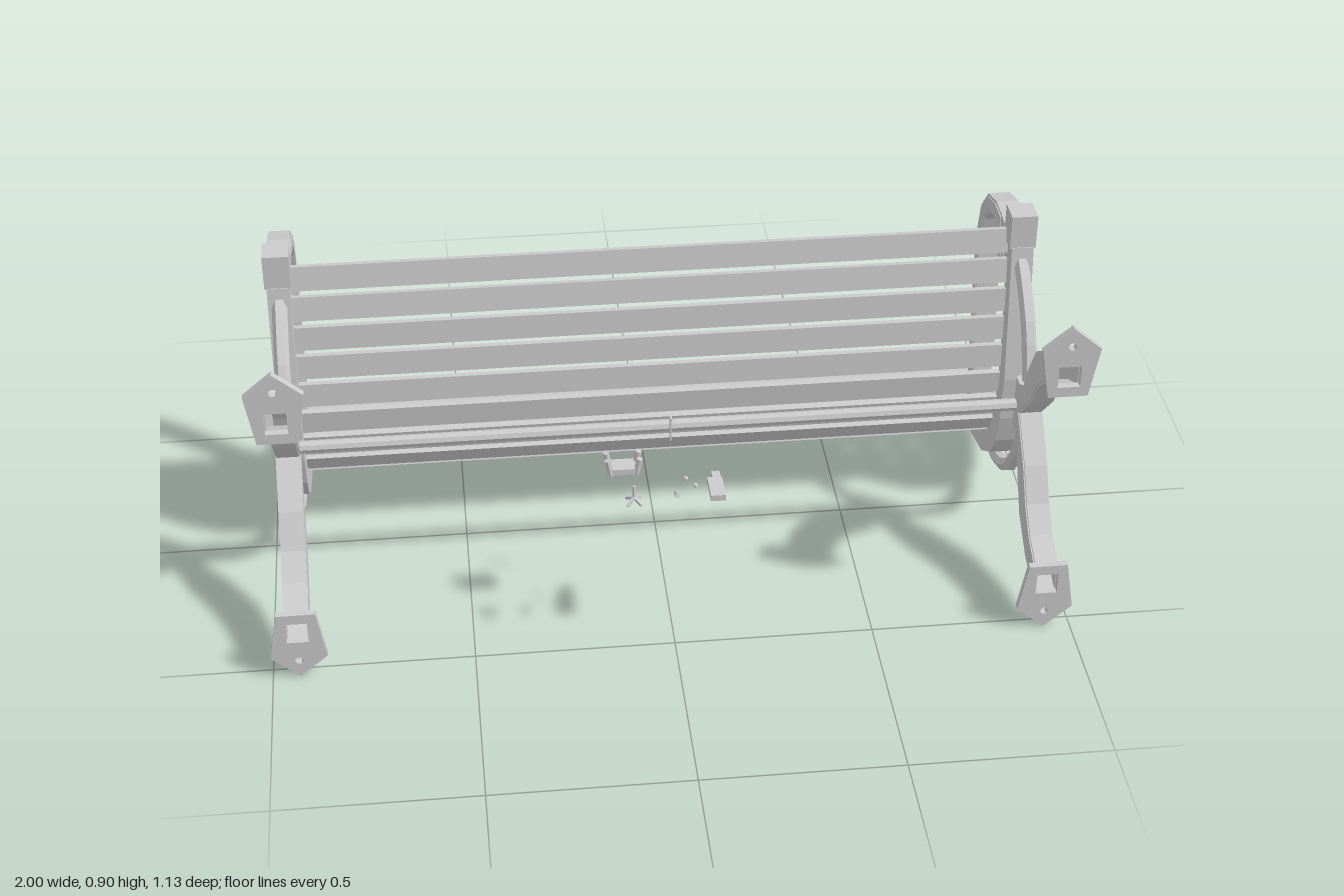
import * as THREE from 'three';

const mat = new THREE.MeshStandardMaterial({ color: 0xcccccc, flatShading: true });
const V = ([z, y]) => new THREE.Vector2(z, y);
const SIDE_X = 0.932;

function add(parent, name, geo, x = 0, y = 0, z = 0) {
  const m = new THREE.Mesh(geo, mat);
  m.name = name;
  m.position.set(x, y, z);
  parent.add(m);
  return m;
}

// Flat plate drawn in the z-y plane between two edge lines, thick along x
function plate(edgeA, edgeB, depth) {
  const shape = new THREE.Shape([...edgeA, ...[...edgeB].reverse()].map(V));
  const g = new THREE.ExtrudeGeometry(shape, { depth, bevelEnabled: false });
  return g.translate(0, 0, -depth / 2).rotateY(-Math.PI / 2);
}

// Line shifted sideways by d
function offset(pts, d) {
  return pts.map((p, i) => {
    const a = pts[Math.max(i - 1, 0)], b = pts[Math.min(i + 1, pts.length - 1)];
    const l = Math.hypot(b[0] - a[0], b[1] - a[1]);
    return [p[0] - (b[1] - a[1]) / l * d, p[1] + (b[0] - a[0]) / l * d];
  });
}
const strip = (pts, w, depth) => plate(offset(pts, w / 2), offset(pts, -w / 2), depth);

function linePath(pts) {
  const path = new THREE.CurvePath();
  for (let i = 1; i < pts.length; i++) path.add(new THREE.LineCurve(V(pts[i - 1]), V(pts[i])));
  return path;
}

// Edges of the curved end rail, from the top post round to the free end
const railOuter = [[0.01, 0.81], [0.032, 0.634], [0.053, 0.436], [0.044, 0.308], [0.023, 0.223],
  [-0.032, 0.146], [-0.117, 0.091], [-0.27, 0.055], [-0.556, 0.027]];
const railInner = [[-0.05, 0.81], [-0.03, 0.68], [-0.017, 0.527], [-0.011, 0.42], [-0.026, 0.308],
  [-0.053, 0.238], [-0.102, 0.186], [-0.194, 0.155], [-0.316, 0.125], [-0.566, 0.091]];
const armPath = [[-0.05, 0.8], [-0.12, 0.81], [-0.178, 0.812], [-0.26, 0.787], [-0.315, 0.726],
  [-0.343, 0.619], [-0.334, 0.482], [-0.312, 0.28]];
const scrollPath = [[-0.045, 0.8], [-0.05, 0.73], [-0.068, 0.69], [-0.112, 0.694], [-0.117, 0.735],
  [-0.093, 0.752], [-0.075, 0.735], [-0.085, 0.715]];

// Splayed leg edges, mirrored about the hub height
const HUB_Y = 0.456;
const legTop = [[0.512, 0.802], [0.416, 0.765], [0.325, 0.701], [0.264, 0.598], [0.218, 0.462]];
const legLow = [[0.512, 0.735], [0.43, 0.695], [0.37, 0.64], [0.318, 0.558], [0.222, 0.458]];

function footGeometry() {
  const s = new THREE.Shape([[0, 0.905], [-0.07, 0.845], [-0.048, 0.713], [0.048, 0.713], [0.07, 0.845]]
    .map(([x, y]) => V([x, y - HUB_Y])));
  s.holes.push(new THREE.Path().absarc(0, 0.855 - HUB_Y, 0.011, 0, Math.PI * 2, true));
  s.holes.push(new THREE.Path([[-0.027, 0.74], [0.027, 0.74], [0.027, 0.798], [-0.027, 0.798]]
    .map(([x, y]) => V([x, y - HUB_Y]))));
  return new THREE.ExtrudeGeometry(s, { depth: 0.018, bevelEnabled: false, curveSegments: 3 });
}

// Hollow leg with its foot plate, built around the hub height
function leg() {
  const g = new THREE.Group();
  g.name = 'leg';
  const low = (pts) => pts.map(([z, y]) => [z, y - HUB_Y]);
  const top = low(legTop), bot = low(legLow);
  for (const s of [-1, 1]) add(g, 'legCheek', plate(top, bot, 0.006), s * 0.028);
  add(g, 'legTopWall', plate(top, offset(top, -0.006), 0.056));
  add(g, 'legBottomWall', plate(offset(bot, 0.006), bot, 0.056));
  add(g, 'footPlate', footGeometry(), 0, 0, 0.512);
  return g;
}

function brace(pts) {
  const path = new THREE.CurvePath();
  const v = pts.map(([z, y]) => new THREE.Vector3(0, y, z));
  const curve = new THREE.CatmullRomCurve3(v);
  return new THREE.TubeGeometry(curve, 6, 0.019, 6);
}

function endFrame(side) {
  const g = new THREE.Group();
  g.name = side > 0 ? 'leftEndFrame' : 'rightEndFrame';
  g.position.x = side * SIDE_X;
  add(g, 'endRail', plate(railOuter, railInner, 0.056));
  add(g, 'topPost', new THREE.BoxGeometry(0.066, 0.092, 0.068), 0, 0.853, -0.026);
  add(g, 'armrest', strip(armPath, 0.046, 0.056));
  add(g, 'armrestInlay', strip(armPath.slice(1), 0.03, 0.062));
  add(g, 'armrestFork', strip([[-0.308, 0.29], [-0.298, 0.23], [-0.268, 0.137]], 0.026, 0.05));
  add(g, 'armrestFork', strip([[-0.316, 0.29], [-0.326, 0.23], [-0.349, 0.115]], 0.026, 0.05));
  add(g, 'scroll', strip(scrollPath, 0.028, 0.056));

  // Hub with its two legs and two braces
  add(g, 'hub', new THREE.CylinderGeometry(0.033, 0.033, 0.143, 6), 0, HUB_Y, 0.186);
  for (const s of [1, -1]) {
    const l = leg();
    l.position.y = HUB_Y;
    if (s < 0) l.rotation.z = Math.PI;
    g.add(l);
  }
  add(g, 'upperBrace', brace([[0.195, 0.51], [0.135, 0.645], [0.065, 0.72], [0, 0.77]]));
  add(g, 'lowerBrace', brace([[0.195, 0.4], [0.14, 0.27], [0.065, 0.17], [-0.01, 0.132], [-0.09, 0.108], [-0.13, 0.12]]));
  return g;
}

// Small loose items floating in front
function looseItems() {
  const g = new THREE.Group();
  g.name = 'looseItems';
  add(g, 'thinRod', new THREE.CylinderGeometry(0.003, 0.003, 0.075, 5), 0, 0.582, 0.376);
  add(g, 'rodHook', new THREE.BoxGeometry(0.005, 0.004, 0.02), 0, 0.619, 0.387);
  add(g, 'fittingBase', new THREE.BoxGeometry(0.075, 0.016, 0.045), -0.12, 0.503, 0.417);
  for (const x of [-0.155, -0.085])
    for (const z of [0.402, 0.434])
      add(g, 'fittingPost', new THREE.CylinderGeometry(0.008, 0.008, 0.045, 6), x, 0.515, z).rotation.z = x < -0.12 ? 0.2 : -0.2;
  add(g, 'flatBlock', new THREE.BoxGeometry(0.036, 0.016, 0.075), 0.095, 0.501, 0.525);
  add(g, 'flatBlockNeck', new THREE.BoxGeometry(0.02, 0.012, 0.03), 0.1, 0.5, 0.475);
  for (let i = 0; i < 4; i++) {
    const a = Math.PI / 4 + i * Math.PI / 2;
    const m = add(g, 'starArm', new THREE.BoxGeometry(0.028, 0.006, 0.007), -0.105 + Math.cos(a) * 0.012, 0.496, 0.54 - Math.sin(a) * 0.012);
    m.rotation.set(0, a, -0.5, 'YXZ');
  }
  add(g, 'starStem', new THREE.CylinderGeometry(0.004, 0.004, 0.035, 5), -0.105, 0.518, 0.54);
  add(g, 'peg', new THREE.CylinderGeometry(0.006, 0.006, 0.032, 6), -0.003, 0.508, 0.545).rotation.x = 1.2;
  for (const [x, z] of [[0.025, 0.485], [0.045, 0.515]])
    add(g, 'bead', new THREE.IcosahedronGeometry(0.007, 0), x, 0.508, z);
  return g;
}

export function createModel() {
  const model = new THREE.Group();
  model.name = 'bench';
  for (const s of [-1, 1]) model.add(endFrame(s));

  // Slats spaced evenly along the inner side of the end rails
  const path = linePath([[-0.055, 0.836], ...railInner.slice(1, -1), [-0.542, 0.094]]);
  const count = 14, gap = 0.017, thick = 0.016;
  const pitch = (path.getLength() + gap) / count;
  for (let i = 0; i < count; i++) {
    const a = path.getPoint(Math.min(i * pitch / path.getLength(), 1));
    const b = path.getPoint(Math.min((i * pitch + pitch - gap) / path.getLength(), 1));
    const t = b.clone().sub(a).normalize(), c = a.add(b).multiplyScalar(0.5);
    const slat = add(model, 'slat', new THREE.BoxGeometry(SIDE_X * 2 - 0.05, thick, pitch - gap),
      0, c.y + t.x * thick / 2, c.x - t.y * thick / 2);
    slat.rotation.x = Math.atan2(-t.y, t.x);
  }

  // Round bar joining the two hubs
  add(model, 'stretcher', new THREE.CylinderGeometry(0.016, 0.016, SIDE_X * 2, 8), 0, 0.452, 0.183).rotation.z = Math.PI / 2;
  model.add(looseItems());
  return model;
}
